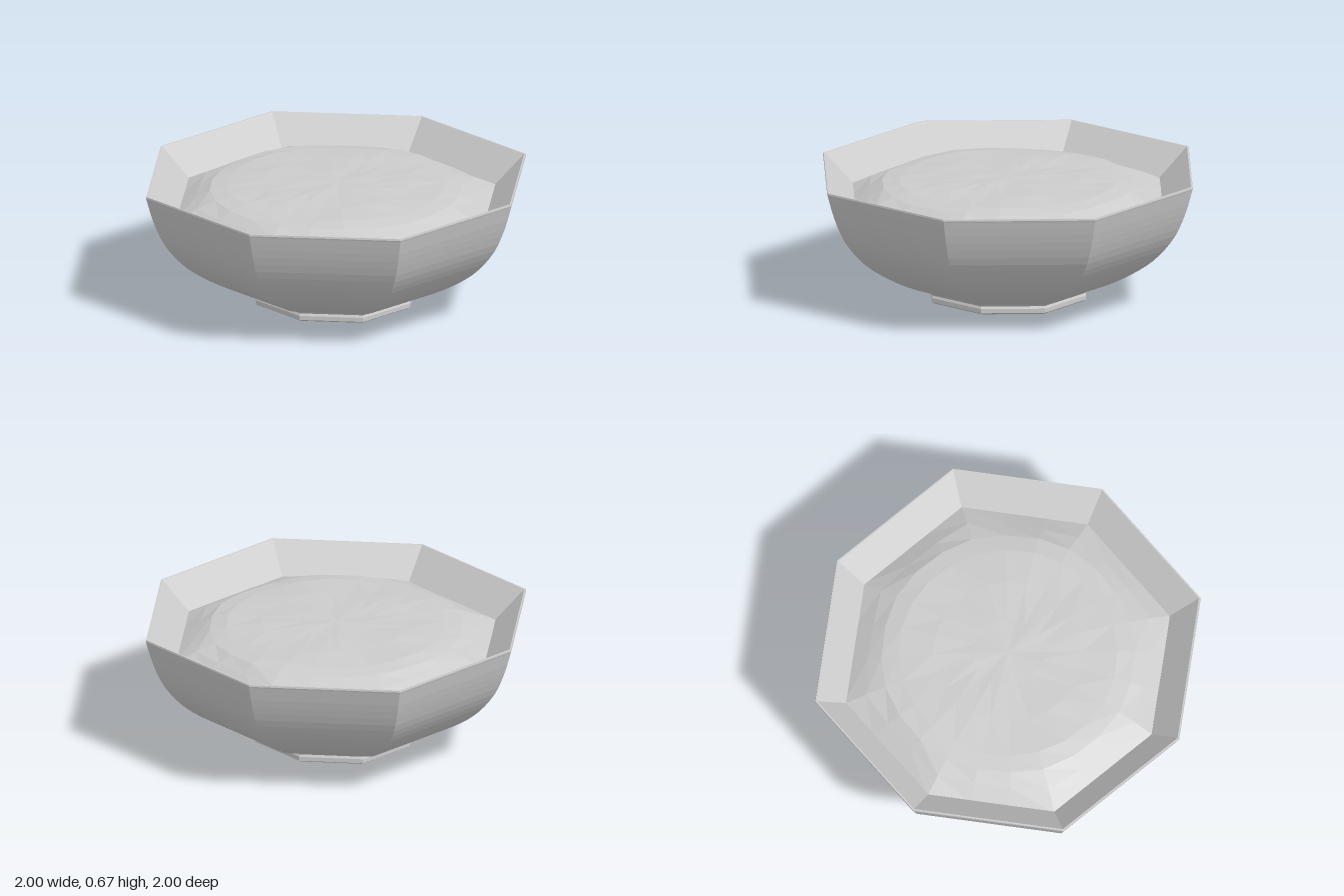
import * as THREE from 'three';

const SIDES = 8;
const SECTOR = (Math.PI * 2) / SIDES;
const DIAGONAL = 1.025; // the diagonal corners stand out slightly further

const material = new THREE.MeshStandardMaterial({ color: 0xcccccc, flatShading: true });

const toPoints = (pairs) => pairs.map(([r, y]) => new THREE.Vector2(r, y));

// Rewrites every vertex by a rule of (radius, height, angle) -> [radius, height]
function reshape(geometry, rule) {
  const p = geometry.attributes.position;
  for (let i = 0; i < p.count; i++) {
    const a = Math.atan2(p.getX(i), p.getZ(i));
    const [r, y] = rule(Math.hypot(p.getX(i), p.getZ(i)), p.getY(i), a);
    p.setXYZ(i, r * Math.sin(a), y, r * Math.cos(a));
  }
  geometry.computeVertexNormals();
  return geometry;
}

// Corner stretch: 1 on the axes, DIAGONAL between them
const cornerScale = (a) => 1 + (DIAGONAL - 1) * Math.sin(2 * a) ** 2;

// Radius of the octagon's straight edge relative to its corners
function octagonEdge(a) {
  const t = ((a % SECTOR) + SECTOR) % SECTOR;
  return Math.cos(SECTOR / 2) / Math.cos(t - SECTOR / 2);
}

function createBowl() {
  // Foot, curved outside, thin lip, sloping inside and floor
  const curve = new THREE.SplineCurve(toPoints([
    [0.425, 0.062], [0.56, 0.115], [0.71, 0.2], [0.815, 0.285],
    [0.905, 0.4], [0.962, 0.53], [0.997, 0.65],
  ])).getPoints(18);
  const profile = [
    ...toPoints([[0, 0], [0.3, 0.003], [0.405, 0.008], [0.422, 0.018], [0.422, 0.04], [0.416, 0.052]]),
    ...curve,
    ...toPoints([[1, 0.658], [0.998, 0.667], [0.99, 0.667], [0.84, 0.522], [0.7, 0.32], [0.4, 0.12], [0, 0.1]]),
  ];
  const geometry = reshape(new THREE.LatheGeometry(profile, SIDES), (r, y, a) => [r * cornerScale(a), y]);
  const mesh = new THREE.Mesh(geometry, material);
  mesh.name = 'bowl';
  return mesh;
}

function createFilling() {
  // Gently domed mound: octagonal where it meets the wall, round on top
  const profile = toPoints([
    [0.85, 0.515], [0.74, 0.568], [0.65, 0.602], [0.56, 0.617], [0.38, 0.626], [0.18, 0.63], [0, 0.632],
  ]);
  const geometry = reshape(new THREE.LatheGeometry(profile, 24), (r, y, a) => {
    const blend = THREE.MathUtils.smoothstep(r, 0.6, 0.83);
    const edge = THREE.MathUtils.lerp(1, octagonEdge(a) * cornerScale(a), blend);
    // slight unevenness of the surface, fading out at the wall and the middle
    const uneven = 0.005 * (1 - blend) * Math.min(1, r * 3) * Math.sin(5 * a + 9 * r) ;
    return [r * edge, y + uneven];
  });
  const mesh = new THREE.Mesh(geometry, material);
  mesh.name = 'filling';
  return mesh;
}

export function createModel() {
  const group = new THREE.Group();
  group.name = 'filledBowl';
  group.add(createBowl(), createFilling());
  return group;
}
